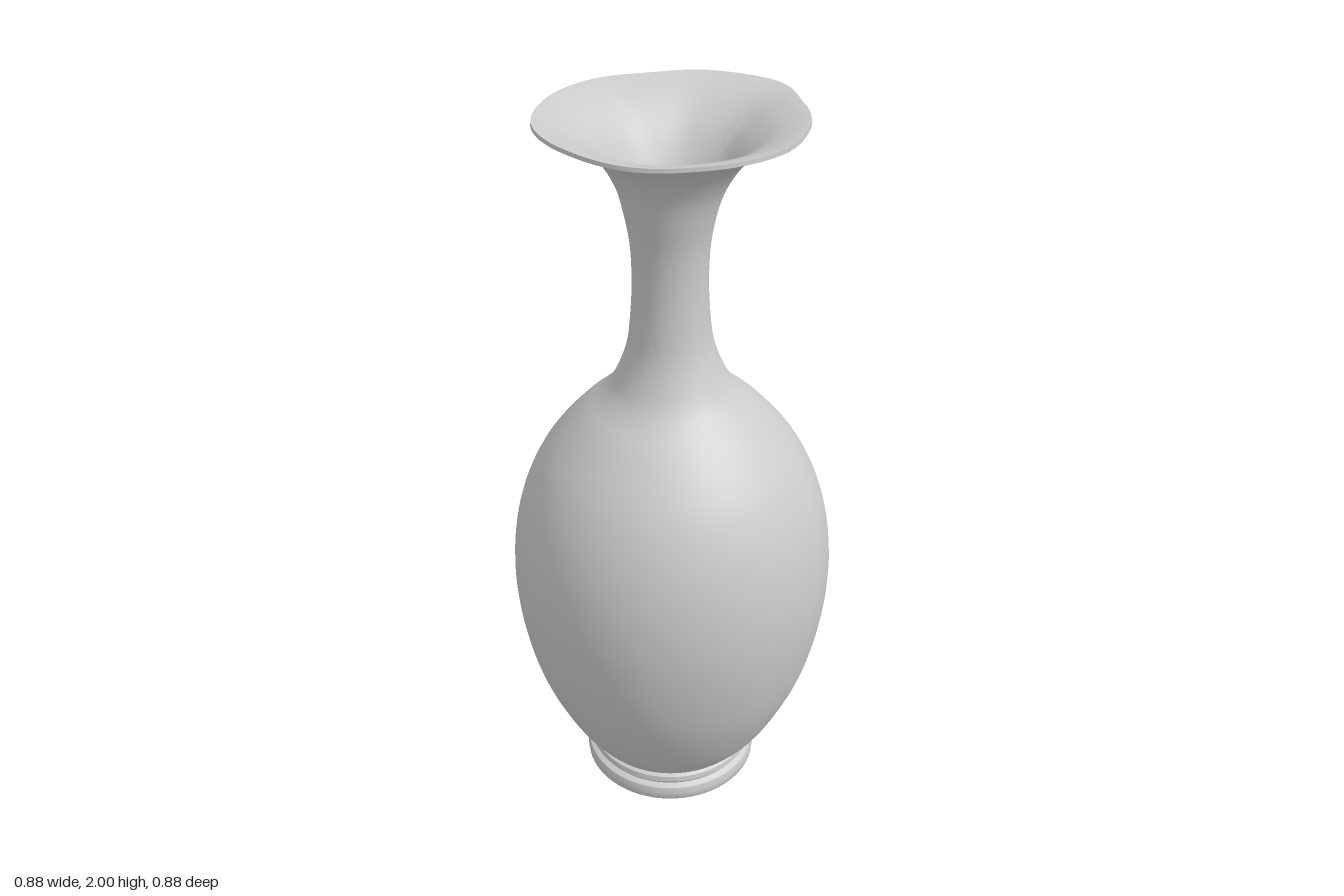
import * as THREE from 'three';
import { mergeVertices, toCreasedNormals } from 'three/addons/utils/BufferGeometryUtils.js';

const V = (p) => new THREE.Vector2(p[0], p[1]);
const smooth = (pts, n) => new THREE.SplineCurve(pts.map(V)).getPoints(n);

// Relative mouth radius every 30 degrees, from +x towards +z
const MOUTH = [0.99, 1.0, 1.04, 1.01, 1.025, 1.0, 0.99, 0.935, 1.0, 1.03, 0.935, 0.945];

function mouthRadius(angle) {
  const t = (((angle / (Math.PI * 2)) % 1) + 1) % 1 * 12;
  const i = Math.floor(t) % 12, f = t - Math.floor(t);
  const s = f * f * (3 - 2 * f);
  return MOUTH[i] * (1 - s) + MOUTH[(i + 1) % 12] * s;
}

// Hand-made irregularity: the neck leans slightly and the mouth is uneven
function deform(geometry) {
  const p = geometry.attributes.position;
  for (let i = 0; i < p.count; i++) {
    const x = p.getX(i), y = p.getY(i), z = p.getZ(i);
    const flare = THREE.MathUtils.smoothstep(y, 1.75, 1.98);
    const neck = THREE.MathUtils.smoothstep(y, 1.15, 1.5);
    const foot = 1 - THREE.MathUtils.smoothstep(y, 0.05, 0.2);
    const a = Math.atan2(z, x);
    const k = 1 + flare * (mouthRadius(a) - 1);
    p.setXYZ(i,
      x * k - 0.006 * neck - 0.004 * flare - 0.007 * foot,
      y - 0.006 * flare * (1 - Math.cos(a - 0.6)) * 0.5,
      z * k - 0.025 * flare);
  }
}

function lathe(points) {
  let g = new THREE.LatheGeometry(points, 72);
  g.deleteAttribute('uv');
  g.deleteAttribute('normal');
  deform(g);
  g = mergeVertices(g, 1e-5);
  return toCreasedNormals(g, 0.7);
}

export function createModel() {
  const group = new THREE.Group();
  const material = new THREE.MeshStandardMaterial({ color: 0xcccccc, side: THREE.DoubleSide });
  const add = (name, points) => {
    const mesh = new THREE.Mesh(lathe(points), material);
    mesh.name = name;
    group.add(mesh);
  };

  // Foot ring with a recessed underside and a groove
  add('foot', [
    [0, 0.065], [0.16, 0.06], [0.185, 0.05], [0.205, 0.012], [0.215, 0.002],
    [0.24, 0.002], [0.25, 0.012], [0.252, 0.035], [0.247, 0.052], [0.232, 0.06],
    [0.234, 0.066], [0.24, 0.072], [0.237, 0.088], [0.222, 0.096],
  ].map(V));

  // Outer wall: belly, shoulder, neck and flared mouth
  const outer = smooth([
    [0.222, 0.092], [0.25, 0.12], [0.303, 0.2], [0.352, 0.3], [0.39, 0.4], [0.415, 0.5],
    [0.431, 0.6], [0.438, 0.7], [0.434, 0.8], [0.418, 0.9], [0.386, 1.0], [0.333, 1.1],
    [0.25, 1.2], [0.185, 1.26], [0.148, 1.31], [0.113, 1.4], [0.1, 1.5], [0.096, 1.6],
    [0.102, 1.7], [0.124, 1.8], [0.152, 1.86], [0.19, 1.91], [0.245, 1.955], [0.3, 1.98],
    [0.334, 1.99],
  ], 90);

  // Inner wall from the lip down to the floor
  const inner = smooth([
    [0.333, 2.0], [0.3, 1.992], [0.24, 1.967], [0.18, 1.92], [0.142, 1.865], [0.113, 1.8],
    [0.092, 1.7], [0.086, 1.6], [0.09, 1.5], [0.103, 1.4], [0.138, 1.31], [0.24, 1.19],
    [0.323, 1.09], [0.405, 0.9], [0.425, 0.7], [0.4, 0.5], [0.34, 0.3], [0.235, 0.12],
  ], 60);
  add('vaseBody', [...outer, ...inner, V([0, 0.11])]);

  return group;
}
